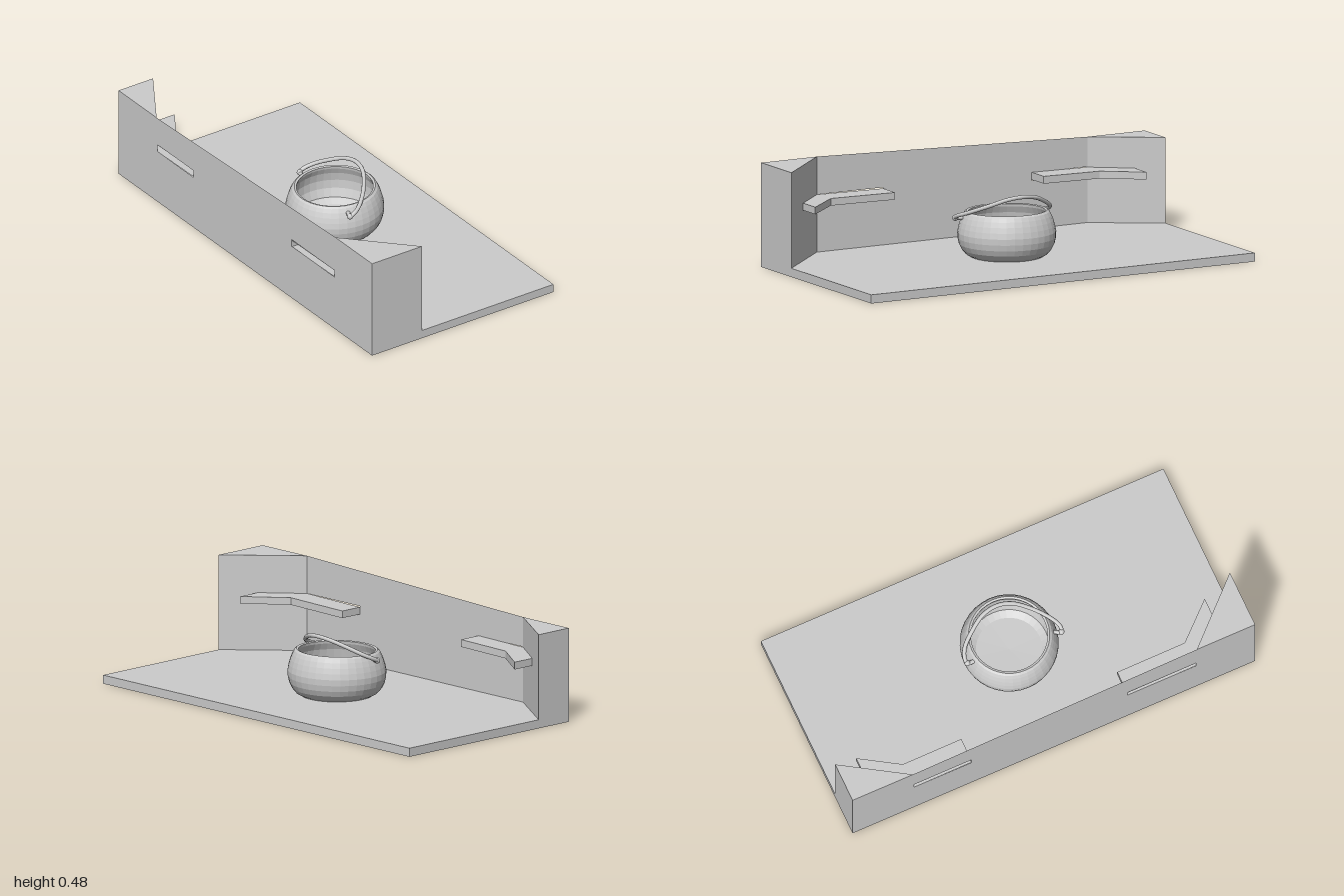
import * as THREE from 'three';

const V = (x, y, z) => new THREE.Vector3(x, y, z);
const grey = new THREE.MeshStandardMaterial({ color: 0xcccccc, flatShading: true, side: THREE.DoubleSide });
const smooth = new THREE.MeshStandardMaterial({ color: 0xcccccc });

function add(group, name, geometry, material = grey) {
  const mesh = new THREE.Mesh(geometry, material);
  mesh.name = name;
  group.add(mesh);
  return mesh;
}

// Upright prism over a floor plan given as [x, z] pairs
function prism(plan, y0, y1) {
  const shape = new THREE.Shape(plan.map(([x, z]) => new THREE.Vector2(x, -z)));
  return new THREE.ExtrudeGeometry(shape, { depth: y1 - y0, bevelEnabled: false })
    .rotateX(-Math.PI / 2).translate(0, y0, 0);
}

// Angled shelf: slightly tilted along z and open where it meets the wall slot
function shelf(plan, y0, y1) {
  const p = prism(plan, y0, y1).getAttribute('position');
  const kept = [];
  for (let i = 0; i < p.count; i += 3) {
    const tri = [0, 1, 2].map(k => V(0, 0, 0).fromBufferAttribute(p, i + k));
    if (tri.every(v => v.x < -0.499)) continue;
    tri.forEach(v => kept.push(v.x, v.y + 0.014 * v.z, v.z));
  }
  const g = new THREE.BufferGeometry();
  g.setAttribute('position', new THREE.Float32BufferAttribute(kept, 3));
  g.computeVertexNormals();
  return g;
}

export function createModel() {
  const model = new THREE.Group();
  model.name = 'potOnWalledBase';

  // Floor slab
  add(model, 'floor', new THREE.BoxGeometry(1, 0.04, 2).translate(0, 0.02, 0));

  // Thin side wall with a sloping top and two shelf slots
  const wall = new THREE.Shape([[-0.7, 0.04], [0.71, 0.04], [0.71, 0.48], [-0.7, 0.435]]
    .map(([z, y]) => new THREE.Vector2(z, y)));
  for (const [z0, z1, y0, y1] of [[-0.695, -0.41, 0.262, 0.297], [0.365, 0.705, 0.27, 0.305]]) {
    wall.holes.push(new THREE.Path([[z0, y0], [z0, y1], [z1, y1], [z1, y0]]
      .map(([z, y]) => new THREE.Vector2(z, y))));
  }
  add(model, 'wall', new THREE.ShapeGeometry(wall).rotateY(-Math.PI / 2).translate(-0.5, 0, 0));

  // Triangular corner blocks at both ends of the wall
  add(model, 'frontCorner', prism([[-0.5, 0.71], [-0.5, 1], [-0.225, 1]], 0.04, 0.48));
  add(model, 'backCorner', prism([[-0.5, -0.7], [-0.31, -1], [-0.5, -1]], 0.04, 0.435));

  // Shelves that follow the wall and bend along the corner blocks
  add(model, 'frontShelf', shelf([[-0.5, 0.365], [-0.5, 0.71], [-0.345, 0.87],
    [-0.235, 0.87], [-0.39, 0.7], [-0.39, 0.365]], 0.262, 0.295));
  add(model, 'backShelf', shelf([[-0.5, -0.41], [-0.39, -0.41], [-0.39, -0.7],
    [-0.275, -0.88], [-0.385, -0.88], [-0.5, -0.7]], 0.271, 0.305));

  // Round pot: outer wall up to the rim, then down the inside
  const profile = [[0, 0], [0.165, 0], [0.187, 0.012], [0.205, 0.033], [0.217, 0.058], [0.223, 0.085],
    [0.224, 0.112], [0.219, 0.138], [0.212, 0.162], [0.203, 0.185], [0.194, 0.202], [0.184, 0.21],
    [0.174, 0.207], [0.176, 0.195], [0.19, 0.165], [0.198, 0.125], [0.196, 0.085], [0.182, 0.045],
    [0.15, 0.025], [0, 0.02]].map(([r, y]) => new THREE.Vector2(r, y));
  const pot = add(model, 'pot', new THREE.LatheGeometry(profile, 36));
  pot.position.set(-0.008, 0.04, 0.002);
  // Gentle lean of the rim, leaving the base flat on the floor
  const p = pot.geometry.getAttribute('position');
  for (let i = 0; i < p.count; i++) p.setY(i, p.getY(i) * (1 + 0.12 * p.getX(i)));
  pot.geometry.computeVertexNormals();

  // Bail handle, tipped to one side, with its ends hooked into the pot
  const handle = new THREE.Group();
  handle.name = 'handle';
  model.add(handle);
  const path = [V(-0.07, 0.222, 0.195), V(-0.082, 0.222, 0.228), V(-0.06, 0.235, 0.232),
    V(-0.02, 0.25, 0.212), V(0.055, 0.287, 0.14), V(0.105, 0.32, 0.06), V(0.118, 0.328, -0.01),
    V(0.105, 0.318, -0.08), V(0.065, 0.289, -0.15), V(0.02, 0.258, -0.205), V(-0.02, 0.238, -0.225),
    V(-0.045, 0.226, -0.222), V(-0.048, 0.224, -0.188)];
  add(handle, 'bail', new THREE.TubeGeometry(new THREE.CatmullRomCurve3(path), 80, 0.0095, 10), smooth);
  for (const c of [path[1], path[11]]) {
    add(handle, 'hookEnd', new THREE.SphereGeometry(0.014, 12, 8), smooth).position.copy(c);
  }
  return model;
}
